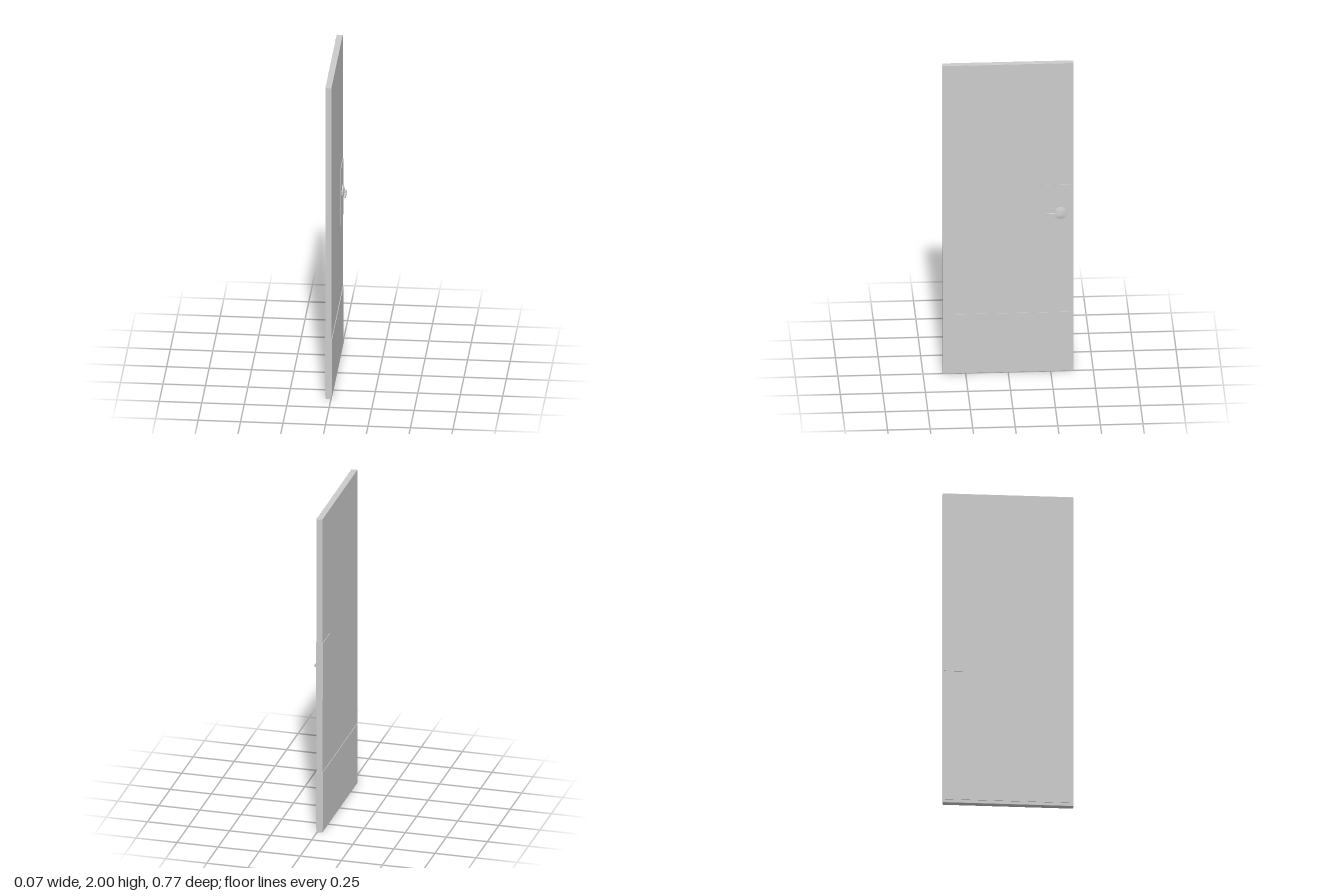
import * as THREE from 'three';
import { RoundedBoxGeometry } from 'three/addons/geometries/RoundedBoxGeometry.js';
import { toCreasedNormals } from 'three/addons/utils/BufferGeometryUtils.js';

export function createModel() {
  const door = new THREE.Group();
  door.name = 'door';
  const metal = new THREE.MeshStandardMaterial({ color: 0xcccccc });
  const slabX = -0.0145, slabThickness = 0.036;
  const faceX = slabX + slabThickness / 2;

  const add = (name, geometry, parent = door) => {
    const mesh = new THREE.Mesh(geometry, metal);
    mesh.name = name;
    parent.add(mesh);
    return mesh;
  };

  // Door leaf with slightly eased edges
  add('doorLeaf', new RoundedBoxGeometry(slabThickness, 2, 0.768, 2, 0.002)).position.set(slabX, 1, 0);

  // Thin protective plates on both faces
  const plateThickness = 0.0035;
  const addPlate = (name, side, y0, y1, z0, z1) => {
    const plate = add(name, new THREE.BoxGeometry(plateThickness, y1 - y0, z1 - z0));
    plate.position.set(slabX + side * (slabThickness + plateThickness) / 2, (y0 + y1) / 2, (z0 + z1) / 2);
  };
  for (const side of [-1, 1]) {
    const label = side > 0 ? 'left' : 'right';
    addPlate(label + 'KickPlate', side, 0.02, 0.385, -0.377, 0.375);
    addPlate(label + 'PushPlate', side, 0.85, 1.21, -0.377, -0.222);
  }

  // Lever handle, on the +x face only
  const handle = new THREE.Group();
  handle.name = 'leverHandle';
  handle.position.set(faceX + plateThickness, 1.03, -0.307);
  door.add(handle);

  // Round rose with a sloped front, and the spindle neck
  const roseProfile = [[0.038, 0], [0.038, 0.008], [0.016, 0.014], [0, 0.014]];
  const rose = new THREE.LatheGeometry(roseProfile.map(([r, h]) => new THREE.Vector2(r, h)), 32);
  add('rose', toCreasedNormals(rose.rotateZ(-Math.PI / 2), 0.4), handle);
  const neck = add('neck', new THREE.CylinderGeometry(0.007, 0.007, 0.014, 20).rotateZ(Math.PI / 2), handle);
  neck.position.x = 0.018;

  // Lever arm: thin bar with a slanted tip, drawn in plan and extruded upward
  const arm = new THREE.Shape([
    [0.021, -0.006], [0.027, -0.006], [0.027, 0.077], [0.0225, 0.087], [0.021, 0.085],
  ].map(([x, z]) => new THREE.Vector2(x, z)));
  const armGeometry = new THREE.ExtrudeGeometry(arm, {
    depth: 0.012, bevelThickness: 0.002, bevelSize: 0.001, bevelSegments: 2,
  });
  armGeometry.translate(0, 0, -0.006).rotateX(Math.PI / 2);
  add('leverArm', toCreasedNormals(armGeometry, 0.6), handle);

  return door;
}
